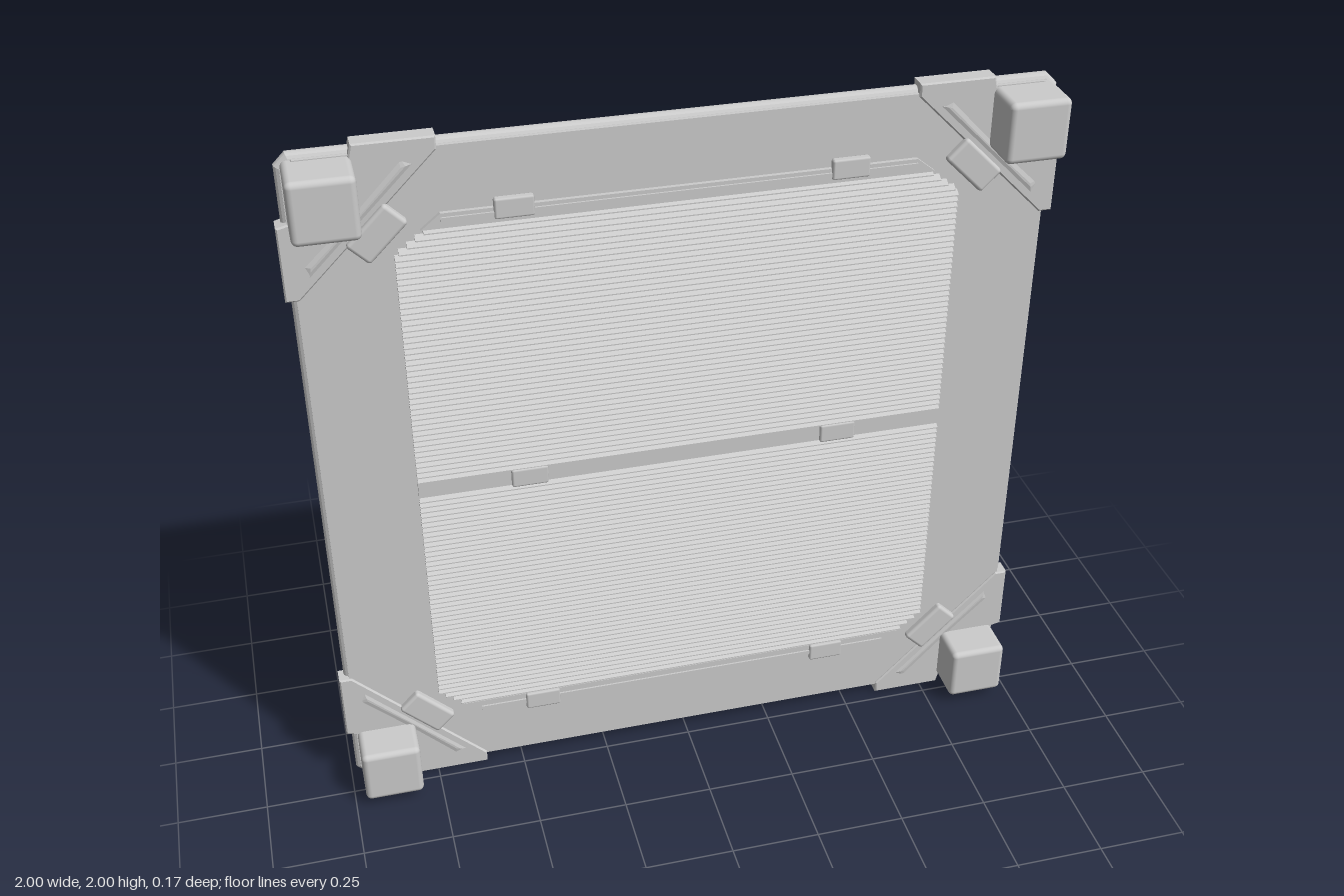
import * as THREE from 'three';
import { RoundedBoxGeometry } from 'three/addons/geometries/RoundedBoxGeometry.js';

const grey = new THREE.MeshStandardMaterial({ color: 0xcccccc });
const flat = new THREE.MeshStandardMaterial({ color: 0xcccccc, flatShading: true });

function add(parent, name, geometry, material, x = 0, y = 0, z = 0) {
  const mesh = new THREE.Mesh(geometry, material);
  mesh.name = name;
  mesh.position.set(x, y, z);
  parent.add(mesh);
  return mesh;
}

// closed shape from a list of [x, y] corners
const polygon = (points) => new THREE.Shape(points.map(([x, y]) => new THREE.Vector2(x, y)));

// rectangle with cut corners, centred on the origin
function cutRect(w, h, c) {
  return polygon([
    [w - c, -h], [w, -h + c], [w, h - c], [w - c, h],
    [-w + c, h], [-w, h - c], [-w, -h + c], [-w + c, -h],
  ]);
}

const extrude = (shape, depth, bevelThickness = 0, bevelSize = 0, bevelSegments = 1) =>
  new THREE.ExtrudeGeometry(shape, {
    depth, bevelEnabled: bevelSize > 0, bevelThickness, bevelSize, bevelSegments,
    bevelOffset: -bevelSize, curveSegments: 6,
  });

// one wedge-shaped slat, sloping out toward its lower edge
function slatGeometry(width, pitch, depth) {
  const g = extrude(polygon([[0, 0], [depth, 0.1 * pitch], [depth, 0.3 * pitch], [0, 0.95 * pitch]]), width);
  g.translate(0, 0, -width / 2);
  g.rotateY(-Math.PI / 2); // profile depth now points to +z
  return g;
}

export function createModel() {
  const model = new THREE.Group();
  model.name = 'ventPanel';
  const body = new THREE.Group(); // local origin at the panel centre
  body.name = 'panel';
  body.position.y = 1;
  model.add(body);

  // rounded back shell and flat front face
  add(body, 'backShell', extrude(cutRect(0.985, 0.985, 0.03), 0.006, 0.018, 0.03, 5), grey, 0, 0, -0.067);
  add(body, 'frontFace', extrude(cutRect(0.972, 0.972, 0.03), 0.025), flat, 0, 0, -0.061);

  // vent rails: centre bar plus stepped ledges at the top and bottom
  add(body, 'centreBar', new THREE.BoxGeometry(1.456, 0.046, 0.016), flat, 0, 0.003, -0.032);
  for (const s of [1, -1]) {
    const ledge = polygon([[-0.66, 0.76], [0.66, 0.76], [0.61, 0.8], [-0.61, 0.8]]);
    const mesh = add(body, 'ledge', extrude(ledge, 0.011), flat, 0, 0, -0.036);
    if (s < 0) {
      mesh.rotation.z = Math.PI;
    }
    add(body, 'ledgeStep', new THREE.BoxGeometry(1.22, 0.012, 0.008), flat, 0, s * 0.784, -0.024);
  }

  // two banks of slats, shortened where they meet the cut outer corners
  const rows = 45;
  for (const s of [1, -1]) {
    const bank = new THREE.Group();
    bank.name = s > 0 ? 'upperSlats' : 'lowerSlats';
    body.add(bank);
    const start = s > 0 ? 0.027 : -0.755;
    const pitch = (s > 0 ? 0.738 : 0.735) / rows;
    for (let i = 0; i < rows; i++) {
      const y = start + i * pitch;
      const half = 0.728 - Math.max(0, Math.abs(y + pitch / 2) - 0.7) * 1.3;
      add(bank, 'slat', slatGeometry(half * 2, pitch, 0.018), flat, 0, y, -0.037);
    }
  }

  // small clips over the rails
  for (const x of [-0.43, 0.43])
    for (const y of [-0.785, 0.003, 0.798])
      add(body, 'clip', new RoundedBoxGeometry(0.1, 0.055, 0.022, 1, 0.006), grey, x, y, -0.026);

  // four identical corners, turned by quarter turns
  for (let i = 0; i < 4; i++) {
    const corner = new THREE.Group();
    corner.name = 'corner';
    corner.rotation.z = i * Math.PI / 2;
    body.add(corner);

    // diagonal bracket wrapping the two edges
    const bracket = polygon([
      [0.605, 0.965], [0.965, 0.605], [1, 0.605], [1, 0.805], [0.9, 0.83],
      [0.83, 0.9], [0.805, 1], [0.605, 1],
    ]);
    add(corner, 'bracket', extrude(bracket, 0.043, 0.004, 0.004), flat, 0, 0, -0.077);

    // raised band that tapers toward the edge flanges
    const band = polygon([[0.64, 0.94], [0.94, 0.64], [0.965, 0.7], [0.83, 0.83], [0.7, 0.965]]);
    add(corner, 'bracketRib', extrude(band, 0.001, 0.008, 0.03), flat, 0, 0, -0.036);

    // latch lying across the bracket
    const latch = add(corner, 'latch', new RoundedBoxGeometry(0.145, 0.078, 0.032, 2, 0.01), grey, 0.765, 0.765, -0.032);
    latch.rotation.z = -Math.PI / 4;

    // foot block and rear pin
    add(corner, 'footBlock', new RoundedBoxGeometry(0.165, 0.165, 0.15, 3, 0.016), grey, 0.887, 0.887, 0.008);
    const pin = add(corner, 'pin', new THREE.CylinderGeometry(0.016, 0.016, 0.01, 12), grey, 0.91, 0.91, -0.084);
    pin.rotation.x = Math.PI / 2;
  }
  return model;
}
